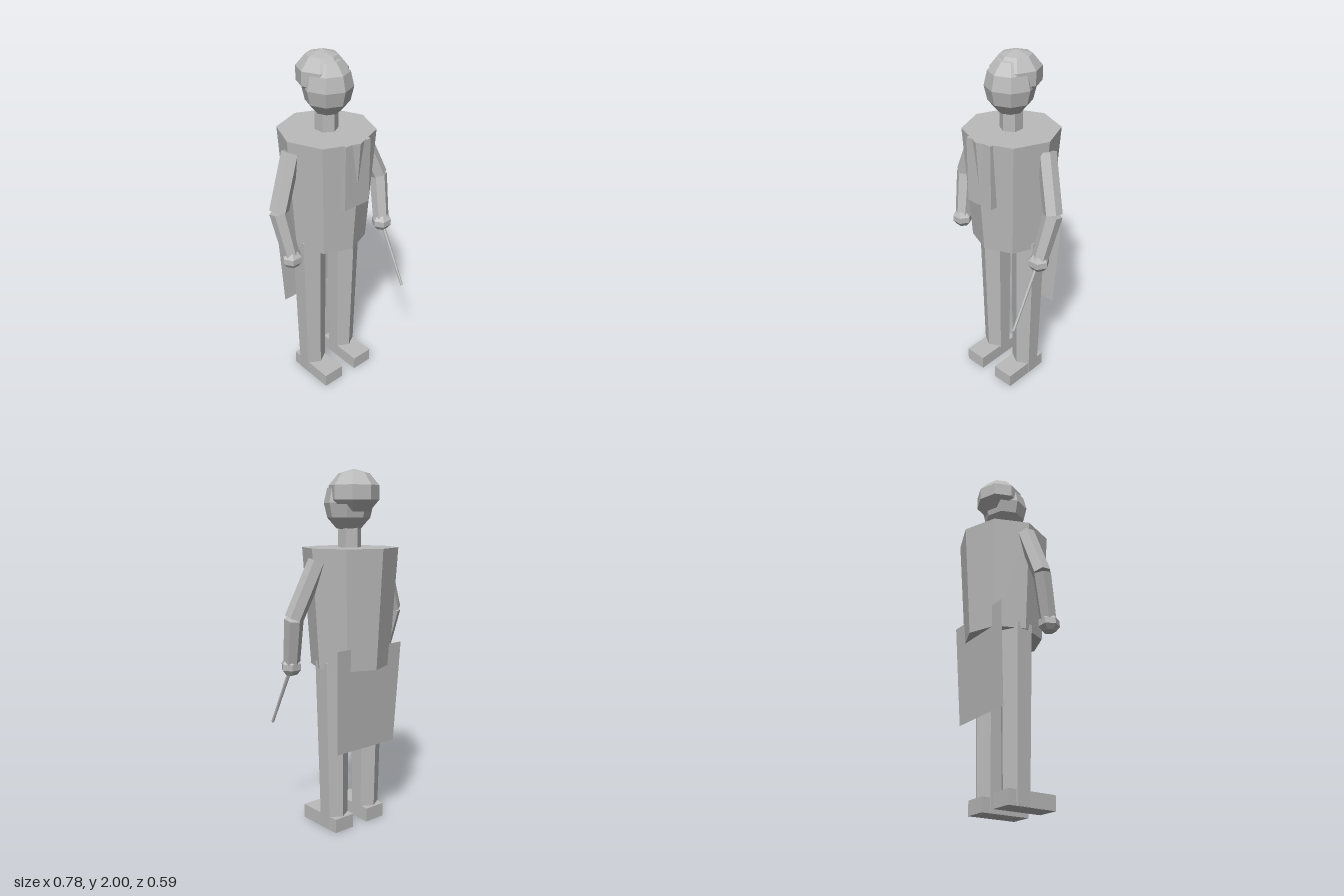
import * as THREE from 'three';

export function createModel() {
  const model = new THREE.Group();
  const grey = new THREE.MeshStandardMaterial({ color: 0xbababa, flatShading: true });
  grey.name = 'grey';
  const greySheet = grey; // one colour throughout
  greySheet.side = THREE.DoubleSide;

  const add = (name, geometry, x = 0, y = 0, z = 0) => {
    const mesh = new THREE.Mesh(geometry, grey);
    mesh.name = name;
    mesh.position.set(x, y, z);
    model.add(mesh);
    return mesh;
  };

  // Tapered prism running from point a to point b
  const limb = (name, a, b, ra, rb, sides = 6) => {
    const from = new THREE.Vector3(...a);
    const to = new THREE.Vector3(...b);
    const dir = from.clone().sub(to);
    const mesh = add(name, new THREE.CylinderGeometry(ra, rb, dir.length(), sides));
    mesh.position.copy(from).add(to).multiplyScalar(0.5);
    mesh.quaternion.setFromUnitVectors(new THREE.Vector3(0, 1, 0), dir.normalize());
    return mesh;
  };

  // Faceted ball stretched in height
  const ball = (name, r, ry, cols, rows, x, y, z) =>
    add(name, new THREE.SphereGeometry(r, cols, rows).scale(1, ry / r, 1), x, y, z);

  // Torso and the flat panel on the chest
  add('torso', new THREE.CylinderGeometry(0.263, 0.219, 0.65, 8), 0, 1.263, -0.031);
  add('chestPanel', new THREE.BoxGeometry(0.17, 0.365, 0.05), 0, 1.405, 0.19);

  // Coat tail: thin tilted sheet behind the legs
  const tail = new THREE.PlaneGeometry(1, 1);
  const p = tail.attributes.position;
  for (let i = 0; i < p.count; i++) {
    const top = p.getY(i) > 0;
    p.setXYZ(i, Math.sign(p.getX(i)) * (top ? 0.232 : 0.21), top ? 1.06 : 0.48, top ? -0.2 : -0.17);
  }
  tail.computeVertexNormals();
  add('coatTail', tail);

  // Neck, head and hair
  add('neck', new THREE.CylinderGeometry(0.063, 0.063, 0.2, 6), 0, 1.64, -0.028);
  ball('head', 0.135, 0.155, 8, 6, 0, 1.823, -0.02);
  ball('hair', 0.142, 0.123, 8, 5, 0, 1.877, -0.063);

  // Legs and feet
  for (const s of [-1, 1]) {
    const side = s > 0 ? 'left' : 'right';
    limb(side + 'Leg', [s * 0.128, 0.975, -0.031], [s * 0.118, 0.003, -0.031], 0.094, 0.077);
    add(side + 'Foot', new THREE.BoxGeometry(0.13, 0.08, 0.29), s * 0.117, 0.04, 0.024);
  }

  // Arms: the left one swings further forward
  const arms = [
    { side: 'left', s: 1, shoulderZ: -0.042, elbowZ: 0.024, handZ: 0.093 },
    { side: 'right', s: -1, shoulderZ: -0.034, elbowZ: -0.012, handZ: 0.05 },
  ];
  for (const { side, s, shoulderZ, elbowZ, handZ } of arms) {
    const elbow = [s * 0.345, 1.22, elbowZ];
    limb(side + 'UpperArm', [s * 0.235, 1.52, shoulderZ], elbow, 0.052, 0.052);
    limb(side + 'Forearm', elbow, [s * 0.317, 0.955, handZ - 0.003], 0.052, 0.046);
    ball(side + 'Hand', 0.06, 0.055, 6, 5, s * 0.317, 0.948, handZ);
  }

  // Slim stick held in the left hand
  limb('stick', [0.315, 0.945, 0.097], [0.315, 0.587, 0.286], 0.011, 0.008);

  return model;
}
